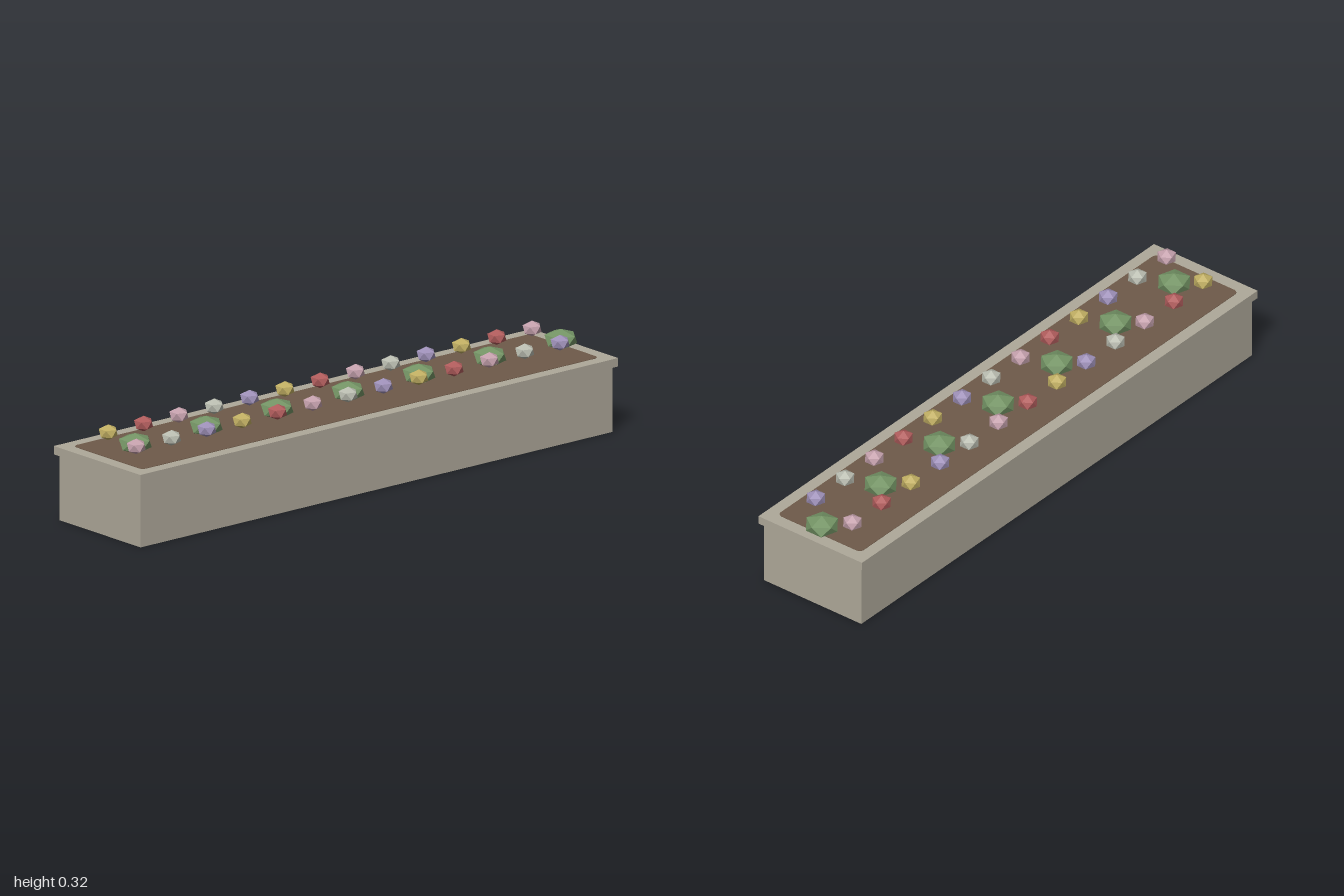
import * as THREE from 'three';

const paint = (name, color) => {
  const m = new THREE.MeshStandardMaterial({ color });
  m.name = name;
  return m;
};

// Icosahedron standing on a vertex, squashed in height
function nugget(radius, halfHeight) {
  const g = new THREE.IcosahedronGeometry(radius, 0);
  g.rotateZ(-Math.atan2(1, (1 + Math.sqrt(5)) / 2));
  g.scale(1, halfHeight / radius, 1);
  g.computeVertexNormals(); // unshared corners, so faces stay flat
  return g;
}

// Flat plate with small rounded corners, lying in the xz plane
function plate(hx, hz, r, thickness) {
  const s = new THREE.Shape();
  s.absarc(hx - r, hz - r, r, 0, Math.PI / 2);
  s.absarc(-hx + r, hz - r, r, Math.PI / 2, Math.PI);
  s.absarc(-hx + r, -hz + r, r, Math.PI, Math.PI * 1.5);
  s.absarc(hx - r, -hz + r, r, Math.PI * 1.5, Math.PI * 2);
  s.closePath();
  const g = new THREE.ExtrudeGeometry(s, { depth: thickness, bevelEnabled: false, curveSegments: 4 });
  return g.rotateX(-Math.PI / 2);
}

export function createModel() {
  const model = new THREE.Group();
  model.name = 'planter';

  const stone = paint('stone', 0xaea899);
  const soil = paint('soil', 0x6e5a49);
  const leaf = paint('leaf green', 0x749465);
  const petals = [
    paint('pink', 0xc4a0ac),
    paint('pale white', 0xb9bcb0),
    paint('lavender', 0x9e90b8),
    paint('yellow', 0xc0ae62),
    paint('red', 0xb05c5c),
  ];

  const add = (parent, name, geometry, material, x, y, z) => {
    const mesh = new THREE.Mesh(geometry, material);
    mesh.name = name;
    mesh.position.set(x, y, z);
    parent.add(mesh);
    return mesh;
  };

  // Stone trough and its overhanging rim
  add(model, 'trough', new THREE.BoxGeometry(1.975, 0.22, 0.398), stone, 0, 0.11, 0);
  add(model, 'rim', new THREE.BoxGeometry(2, 0.028, 0.424), stone, 0, 0.232, 0);
  add(model, 'soil', plate(0.956, 0.17, 0.018, 0.004), soil, 0, 0.2435, 0);

  // Row of shrubs along the middle
  const shrubs = new THREE.Group();
  shrubs.name = 'shrubs';
  model.add(shrubs);
  const shrubShape = nugget(0.0588, 0.033);
  for (let i = 0; i < 7; i++) add(shrubs, 'shrub', shrubShape, leaf, -0.84 + i * 0.2968, 0.273, 0);

  // Two staggered rows of flowers, cycling through the petal colours
  const flowerShape = nugget(0.034, 0.026);
  const rows = [
    { name: 'frontFlowers', x: -0.912, z: 0.089, first: 0 },
    { name: 'backFlowers', x: -0.877, z: -0.089, first: 3 },
  ];
  for (const row of rows) {
    const group = new THREE.Group();
    group.name = row.name;
    model.add(group);
    for (let i = 0; i < 13; i++) {
      add(group, 'flower', flowerShape, petals[(row.first + i) % 5], row.x + i * 0.1478, 0.296, row.z);
    }
  }
  return model;
}
